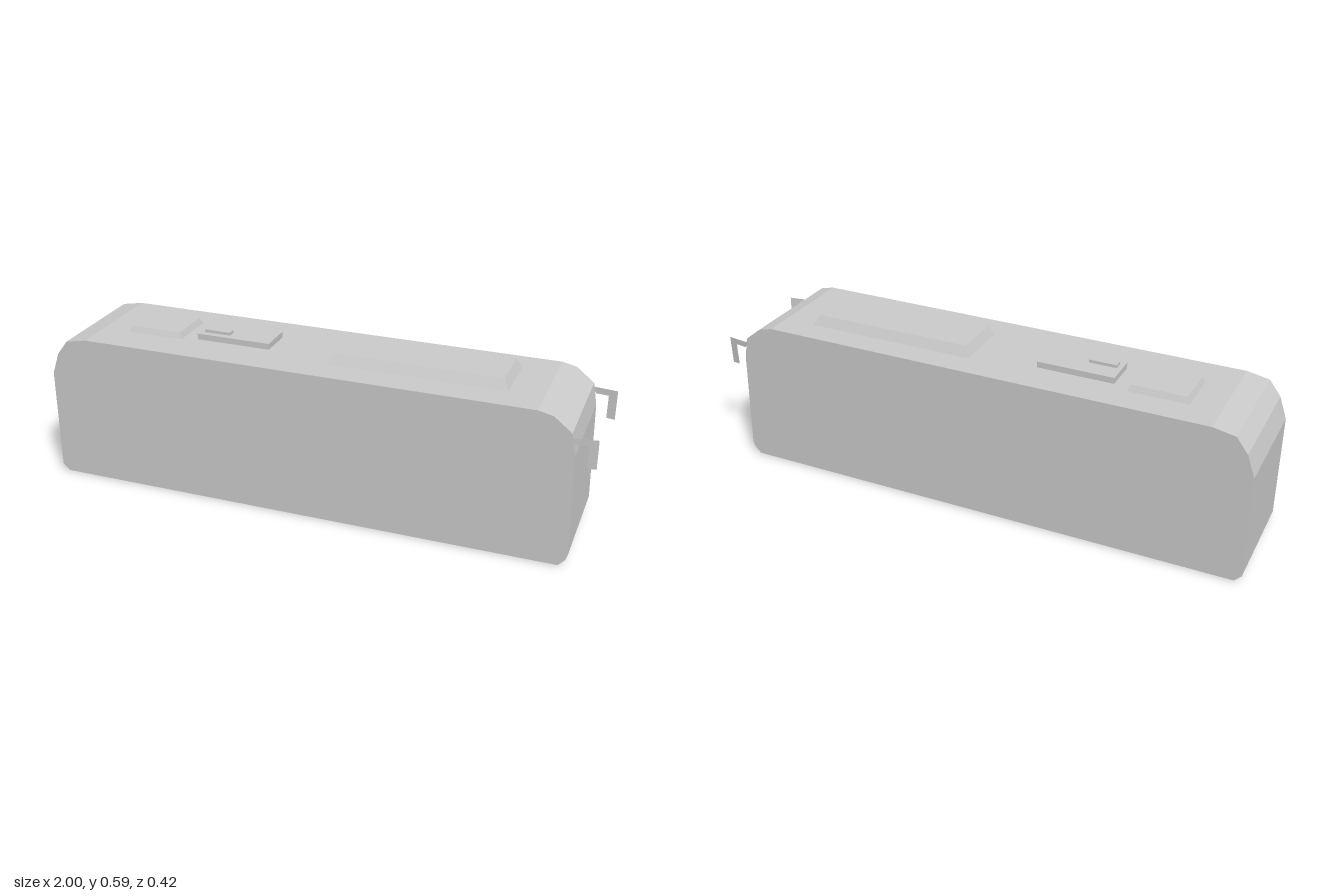
import * as THREE from 'three';

const paint = new THREE.MeshStandardMaterial({ color: 0xcccccc, side: THREE.DoubleSide, flatShading: true });
paint.name = 'light grey';

const HALF_WIDTH = 0.21;
const ROOF = 0.555;

// Body outline from the front lower corner, up and over the roof to the rear lower corner
const OUTLINE = [
  [0.91, 0], [0.933, 0.025], [0.94, 0.047], [0.93, 0.413], [0.915, 0.493], [0.852, 0.543], [0.8, ROOF],
  [-0.85, ROOF], [-0.93, 0.54], [-0.972, 0.485], [-1, 0.405], [-1, 0.025], [-0.975, 0],
];

// Points of a wheel arch, running towards +x
function archPoints(cx, radius = 0.124, height = 0.108, steps = 6) {
  return Array.from({ length: steps + 1 }, (_, i) => {
    const a = Math.PI * (1 - i / steps);
    return [cx + radius * Math.cos(a), height * Math.sin(a)];
  });
}

// Closed band joining a loop of x,y points across the width
function bandGeometry(loop, w) {
  const pos = [];
  loop.forEach(([ax, ay], i) => {
    const [bx, by] = loop[(i + 1) % loop.length];
    pos.push(ax, ay, w, ax, ay, -w, bx, by, -w);
    pos.push(ax, ay, w, bx, by, -w, bx, by, w);
  });
  const g = new THREE.BufferGeometry();
  g.setAttribute('position', new THREE.Float32BufferAttribute(pos, 3));
  g.computeVertexNormals();
  return g;
}

function flatGeometry(points) {
  return new THREE.ShapeGeometry(new THREE.Shape(points.map(([x, y]) => new THREE.Vector2(x, y))));
}

// Box between two corners whose top face is drawn in by an inset
function roofBoxGeometry(x0, x1, z0, z1, y0, y1, inset = 0) {
  const w = x1 - x0, d = z1 - z0;
  const g = new THREE.BoxGeometry(w, y1 - y0, d);
  const p = g.attributes.position;
  for (let i = 0; i < p.count; i++) {
    if (p.getY(i) > 0) {
      p.setX(i, p.getX(i) * (1 - 2 * inset / w));
      p.setZ(i, p.getZ(i) * (1 - 2 * inset / d));
    }
  }
  g.computeVertexNormals();
  return g.translate((x0 + x1) / 2, (y0 + y1) / 2, (z0 + z1) / 2);
}

// Thin L-shaped mirror, tilted inwards towards its tip and foot
function mirrorGeometry() {
  const g = flatGeometry([
    [0.912, 0.478], [0.925, 0.455], [0.97, 0.455], [0.97, 0.372], [1, 0.372], [1, 0.478],
  ]);
  const p = g.attributes.position;
  for (let i = 0; i < p.count; i++) {
    p.setZ(i, 0.212 - 0.14 * (p.getX(i) - 0.915) - 0.04 * (0.478 - p.getY(i)));
  }
  g.computeVertexNormals();
  return g;
}

export function createModel() {
  const model = new THREE.Group();
  model.name = 'bus';
  const add = (name, geometry) => {
    const mesh = new THREE.Mesh(geometry, paint);
    mesh.name = name;
    model.add(mesh);
    return mesh;
  };

  // Ends, roof and floor, with the wheel arches recessed into the floor
  add('bodyShell', bandGeometry([...OUTLINE, ...archPoints(-0.445), ...archPoints(0.487)], HALF_WIDTH));

  // Side walls cover the arches; mirrors hang from the front corners
  for (const [side, s] of [['left', 1], ['right', -1]]) {
    const wall = add(side + 'Wall', flatGeometry(OUTLINE).translate(0, 0, HALF_WIDTH));
    const mirror = add(side + 'Mirror', mirrorGeometry());
    wall.scale.z = mirror.scale.z = s;
  }

  // Roof equipment
  add('airConditioner', roofBoxGeometry(0.047, 0.68, -0.113, 0.102, ROOF, 0.592, 0.0185));
  add('rearHatch', roofBoxGeometry(-0.745, -0.53, -0.102, 0.076, ROOF, 0.577, 0.01));
  add('roofVent', roofBoxGeometry(-0.475, -0.195, -0.072, 0.053, ROOF, 0.577));
  add('ventCap', roofBoxGeometry(-0.457, -0.357, -0.002, 0.03, 0.577, 0.588));

  return model;
}
